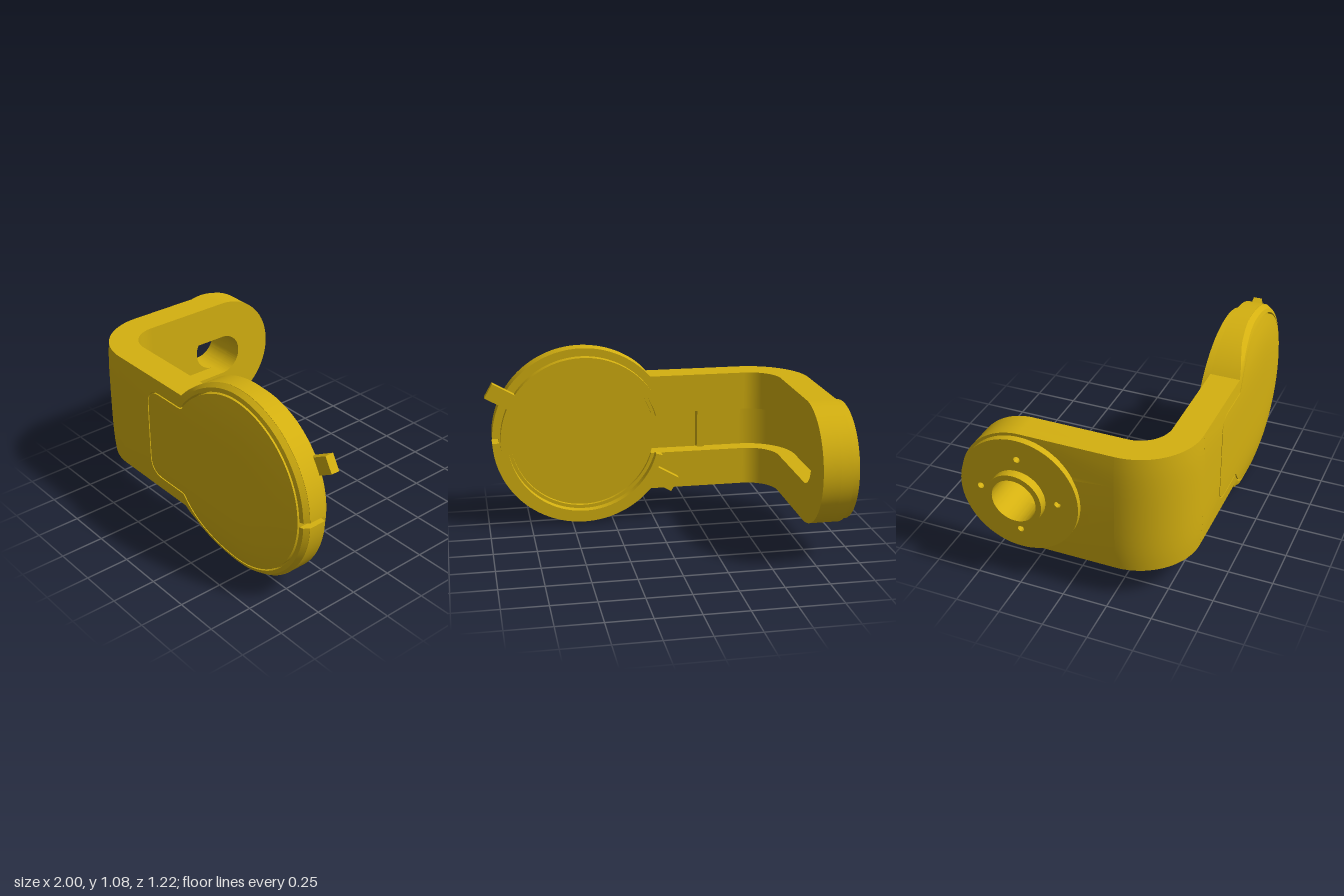
import * as THREE from 'three';
import { toCreasedNormals } from 'three/addons/utils/BufferGeometryUtils.js';

const CX = 0.425, CY = 0.541;         // centre of the round head
const H = 0.35, CH = 0.125;           // half height of the strap, half width of the cable channel
const XE = -0.56, ZB = 0.26;          // centre of the bend in plan
const FLOOR = 0.535, BACK = 0.435;    // channel floor and back face of the front arm
const HZ = -0.26;                     // pivot hole position on the side arm
const SKIN = 0.353;                   // outer bend radius
const R = 0.538;                      // head radius

// Crowned outer faces
const bulge = (dy, d = 0) => 0.7 * (Math.max(0, d) ** 2 + dy * dy) ** 2;
const frontZ = (x, y) => ZB + SKIN - bulge(y - CY, x - CX);
const rimZ = (x, y) => frontZ(x, y) - 0.022 * THREE.MathUtils.smoothstep(x, 0, 0.2);

// Polar outline of a circle joined to a strip running towards -x (rho rounds the strip's corners)
const outline = (radius, h, xe, rho = 0) => a => {
  const c = -Math.cos(a), s = Math.abs(Math.sin(a));
  if (c <= 0) return radius;
  let r = Math.min((CX - xe) / c, h / Math.max(s, 1e-6));
  const ux = CX - xe - rho, uy = h - rho;
  if (r * c > ux && r * s > uy) {
    const b = ux * c + uy * s;
    r = Math.min(r, b + Math.sqrt(Math.max(0, rho * rho - ux * ux - uy * uy + b * b)));
  }
  return Math.max(radius, r);
};
const NOTCH = 0.029;
const notched = f => a => (Math.abs(a) < NOTCH ? 0.4985 : f(a));
const headOuter = notched(outline(R, H, XE));
const headInset = notched(outline(R - 0.02, H, XE));
const lidHole = outline(0.497, 0.274, -0.287, 0.09);
const lidEdge = outline(0.487, 0.266, -0.279, 0.082);
const cavity = outline(0.43, CH, XE);

// Angles with extra samples at the outline corners
const angles = [];
for (let i = 0; i < 240; i++) angles.push(-Math.PI + (i + 0.5) * Math.PI / 120);
const gapAngle = Math.PI - Math.atan2(CH, CX - XE);
for (const a of [NOTCH - 1e-4, NOTCH + 1e-4, Math.PI - Math.atan2(H, CX - XE), gapAngle,
  Math.PI - Math.asin(H / R), Math.PI - Math.asin(CH / 0.43)]) angles.push(a, -a);
angles.sort((a, b) => a - b);

const polar = (a, r) => [CX + r * Math.cos(a), CY + r * Math.sin(a)];

// Skin a list of rings, each given as [radius function, z function]
function loft(rings) {
  const pos = [], idx = [], n = angles.length;
  for (const [rf, zf] of rings) for (const a of angles) {
    const [x, y] = polar(a, rf(a));
    pos.push(x, y, zf(x, y));
  }
  for (let i = 0; i < rings.length - 1; i++) for (let j = 0; j < n; j++) {
    const k = (j + 1) % n, a = i * n + j, b = a + n, c = (i + 1) * n + k, d = i * n + k;
    idx.push(a, b, c, a, c, d);
  }
  const g = new THREE.BufferGeometry();
  g.setAttribute('position', new THREE.Float32BufferAttribute(pos, 3));
  g.setIndex(idx);
  return g;
}

const extrude = (shape, depth) =>
  new THREE.ExtrudeGeometry(shape, { depth, bevelEnabled: false, curveSegments: 48 });

const circleHole = (x, y, r) => new THREE.Path().absarc(x, y, r, 0, Math.PI * 2, true);

function disc(r, holes) {
  const s = new THREE.Shape().absarc(0, 0, r, 0, Math.PI * 2, false);
  s.holes.push(...holes);
  return s;
}

// Shape between two polar outlines, left open around the channel
function openRing(outer, inner, limit) {
  const as = [-limit, ...angles.filter(a => Math.abs(a) < limit - 1e-6), limit];
  const pts = as.map(a => polar(a, outer(a)));
  const ins = as.map(a => polar(a, inner(a))).reverse();
  if (Math.hypot(ins[0][0] - pts.at(-1)[0], ins[0][1] - pts.at(-1)[1]) < 1e-6) { ins.shift(); ins.pop(); }
  return new THREE.Shape([...pts, ...ins].map(p => new THREE.Vector2(...p)));
}

export function createModel() {
  const model = new THREE.Group();
  const material = new THREE.MeshStandardMaterial({ color: 0xd4b010 });
  const add = (name, geo) => {
    const m = new THREE.Mesh(toCreasedNormals(geo, 0.45), material);
    m.name = name;
    model.add(m);
    return m;
  };

  // Front arm and head: face frame around the lid, then the rear layer with recess and channel
  const flat = () => FLOOR;
  add('headFrame', loft([[lidHole, flat], [lidHole, frontZ], [headInset, frontZ],
    [headOuter, rimZ], [headOuter, flat], [lidHole, flat]]));
  add('headBack', extrude(openRing(headOuter, cavity, gapAngle), FLOOR - BACK).translate(0, 0, BACK));

  // Domed lid with its tongue
  const lidRings = [];
  for (let i = 0; i <= 10; i++) lidRings.push([a => lidEdge(a) * i / 10, frontZ]);
  lidRings.push([lidEdge, flat], [() => 0, flat]);
  add('lid', loft(lidRings));

  // Round floor behind the lid, and a low rib across the channel at the tongue's end
  add('headFloor', extrude(disc(0.43, []), 0.08).translate(CX, CY, 0.455));
  add('channelRib', new THREE.BoxGeometry(0.045, 2 * CH, 0.02).translate(-0.31, CY, FLOOR - 0.01));

  // Raised rear rim with two locking tabs
  add('rearRim', extrude(openRing(() => 0.491, () => 0.45, Math.PI - 0.26), 0.05).translate(0, 0, 0.385));
  for (const a of [Math.PI / 6, Math.PI * 7 / 6]) {
    const tab = add('lockingTab', new THREE.BoxGeometry(0.18, 0.095, 0.05));
    const [x, y] = polar(a, 0.545);
    tab.position.set(x, y, 0.41);
    tab.rotation.z = a;
  }

  // Quarter-turn bend with channelled section
  const section = [[0.175, -H]];
  for (let i = 0; i <= 12; i++) {
    const y = -H + 2 * H * i / 12;
    section.push([SKIN - bulge(y), y]);
  }
  section.push([0.175, H], [0.175, CH], [0.275, CH], [0.275, -CH], [0.175, -CH], [0.175, -H]);
  add('bend', new THREE.LatheGeometry(section.map(p => new THREE.Vector2(...p)), 24, Math.PI * 1.5, Math.PI / 2)
    .translate(XE, CY, ZB));

  // Side arm: outer layer with pivot hole, inner layer with channel (shape x runs towards -z)
  const armShape = () => new THREE.Shape().moveTo(-ZB, -H).lineTo(-HZ, -H)
    .absarc(-HZ, 0, H, -Math.PI / 2, Math.PI / 2, false).lineTo(-ZB, H);
  const outerShape = armShape();
  for (let i = 11; i > 0; i--) outerShape.lineTo(-ZB, -H + 2 * H * i / 12);
  outerShape.holes.push(circleHole(-HZ, 0, CH));
  const outerX = XE - SKIN, innerX = XE - 0.275;
  const outerGeo = extrude(outerShape, innerX - outerX).rotateY(Math.PI / 2).translate(outerX, CY, 0);
  const p = outerGeo.attributes.position;
  for (let i = 0; i < p.count; i++) {
    if (p.getX(i) < outerX + 0.01) p.setX(i, outerX + bulge(p.getY(i) - CY, HZ - p.getZ(i)));
  }
  add('sideArmOuter', outerGeo);
  const innerShape = armShape().lineTo(-ZB, CH).lineTo(-HZ, CH)
    .absarc(-HZ, 0, CH, Math.PI / 2, -Math.PI / 2, true).lineTo(-ZB, -CH);
  add('sideArmInner', extrude(innerShape, 0.1).rotateY(Math.PI / 2).translate(innerX, CY, 0));

  // Pivot plate with four screw holes, and collar
  const screwHoles = [0, 1, 2, 3].map(i =>
    circleHole(0.22 * Math.cos(i * Math.PI / 2), 0.22 * Math.sin(i * Math.PI / 2), 0.018));
  const side = (shape, depth, x) => extrude(shape, depth).rotateY(Math.PI / 2).translate(x, CY, HZ);
  add('pivotPlate', side(disc(0.335, [circleHole(0, 0, CH), ...screwHoles]), 0.038, -0.942));
  add('collarNeck', side(disc(0.147, [circleHole(0, 0, CH)]), 0.015, -0.953));
  add('collar', side(disc(0.156, [circleHole(0, 0, CH)]), 0.05, -1));

  return model;
}
